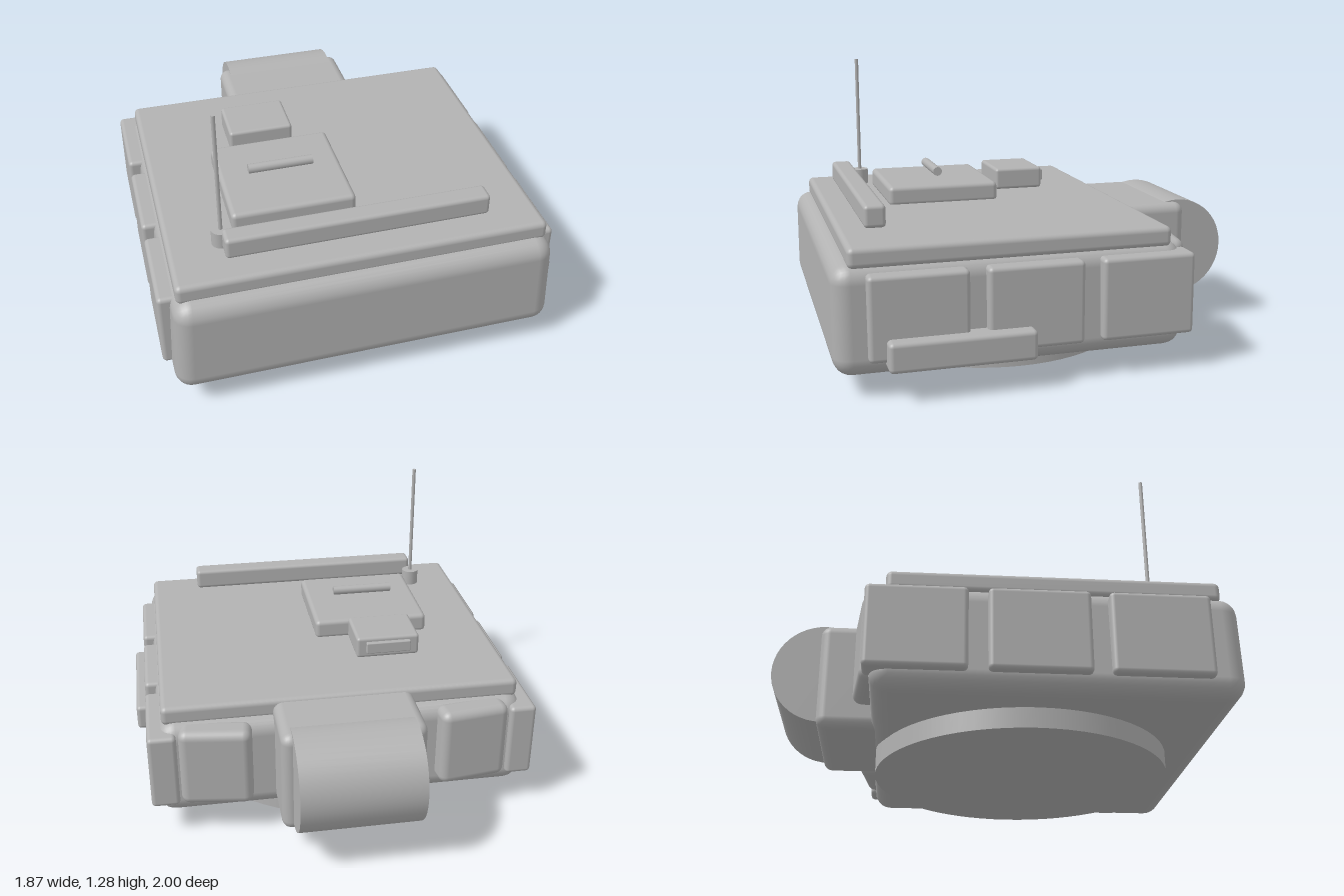
import * as THREE from 'three';
import { RoundedBoxGeometry } from 'three/addons/geometries/RoundedBoxGeometry.js';

export function createModel() {
  const model = new THREE.Group();
  model.name = 'turret';
  const grey = new THREE.MeshStandardMaterial({ color: 0xb2b2b2 });
  grey.name = 'plain grey';

  function add(name, geometry, x = 0, y = 0, z = 0) {
    const mesh = new THREE.Mesh(geometry, grey);
    mesh.name = name;
    mesh.position.set(x, y, z);
    model.add(mesh);
    return mesh;
  }

  // Rounded block given by its extents on each axis
  function block(name, [x0, x1], [y0, y1], [z0, z1], radius = 0.02) {
    const geometry = new RoundedBoxGeometry(x1 - x0, y1 - y0, z1 - z0, 3, radius);
    return add(name, geometry, (x0 + x1) / 2, (y0 + y1) / 2, (z0 + z1) / 2);
  }

  function cylinder(name, radius, height, x, y, z, sides = 24) {
    return add(name, new THREE.CylinderGeometry(radius, radius, height, sides), x, y, z);
  }

  // Main body, its sides leaning in slightly towards the top
  const body = block('body', [-0.9, 0.84], [0.09, 0.56], [-0.54, 1], 0.08);
  const p = body.geometry.attributes.position;
  for (let i = 0; i < p.count; i++) {
    p.setX(i, p.getX(i) * (1 - 0.025 * (p.getY(i) / 0.47 + 0.5)));
  }

  // Roof and turning ring
  block('roofPlate', [-0.86, 0.8], [0.54, 0.63], [-0.485, 0.93], 0.025);
  cylinder('turretRing', 0.675, 0.12, -0.035, 0.06, 0.153, 64);

  // Three armour blocks along each side
  for (const z of [0.65, 0.15, -0.355]) {
    block('leftArmourBlock', [0.74, 0.87], [0.16, 0.525], [z - 0.212, z + 0.212]);
    block('rightArmourBlock', [-0.935, -0.81], [0.16, 0.525], [z - 0.212, z + 0.212]);
  }
  block('sideStowageBox', [0.8, 0.93], [0.13, 0.26], [0.165, 0.79]);

  // Angled cheek blocks beside the mantlet
  for (const side of [-1, 1]) {
    const x = -0.033 + side * 0.597;
    const cheek = block('cheekBlock', [x - 0.165, x + 0.165], [0.165, 0.55], [-0.6, -0.47], 0.04);
    cheek.rotation.y = -side * 0.13;
  }

  // Mantlet with its horizontal drum
  block('mantlet', [-0.36, 0.295], [0.12, 0.615], [-0.785, -0.4], 0.045);
  const drum = cylinder('mantletDrum', 0.235, 0.555, -0.032, 0.39, -0.765, 48);
  drum.rotation.z = Math.PI / 2;

  // Hatch with grab handle
  block('hatch', [-0.56, 0.005], [0.62, 0.715], [0.09, 0.625], 0.022);
  const handle = cylinder('hatchHandle', 0.022, 0.3, -0.28, 0.757, 0.36, 16);
  handle.rotation.z = Math.PI / 2;

  // Sight box with its window frame
  block('sightBox', [-0.455, -0.15], [0.645, 0.75], [-0.185, 0.055], 0.015);
  block('sightWindow', [-0.41, -0.195], [0.675, 0.73], [-0.205, -0.17], 0.005);

  // Cross bar at the front of the roof
  block('roofBar', [-0.625, 0.56], [0.65, 0.75], [0.73, 0.825], 0.018);

  // Antenna
  cylinder('antennaBase', 0.043, 0.085, -0.62, 0.663, 0.68, 20);
  cylinder('antennaRod', 0.009, 0.6, -0.62, 0.985, 0.68, 10);

  return model;
}
